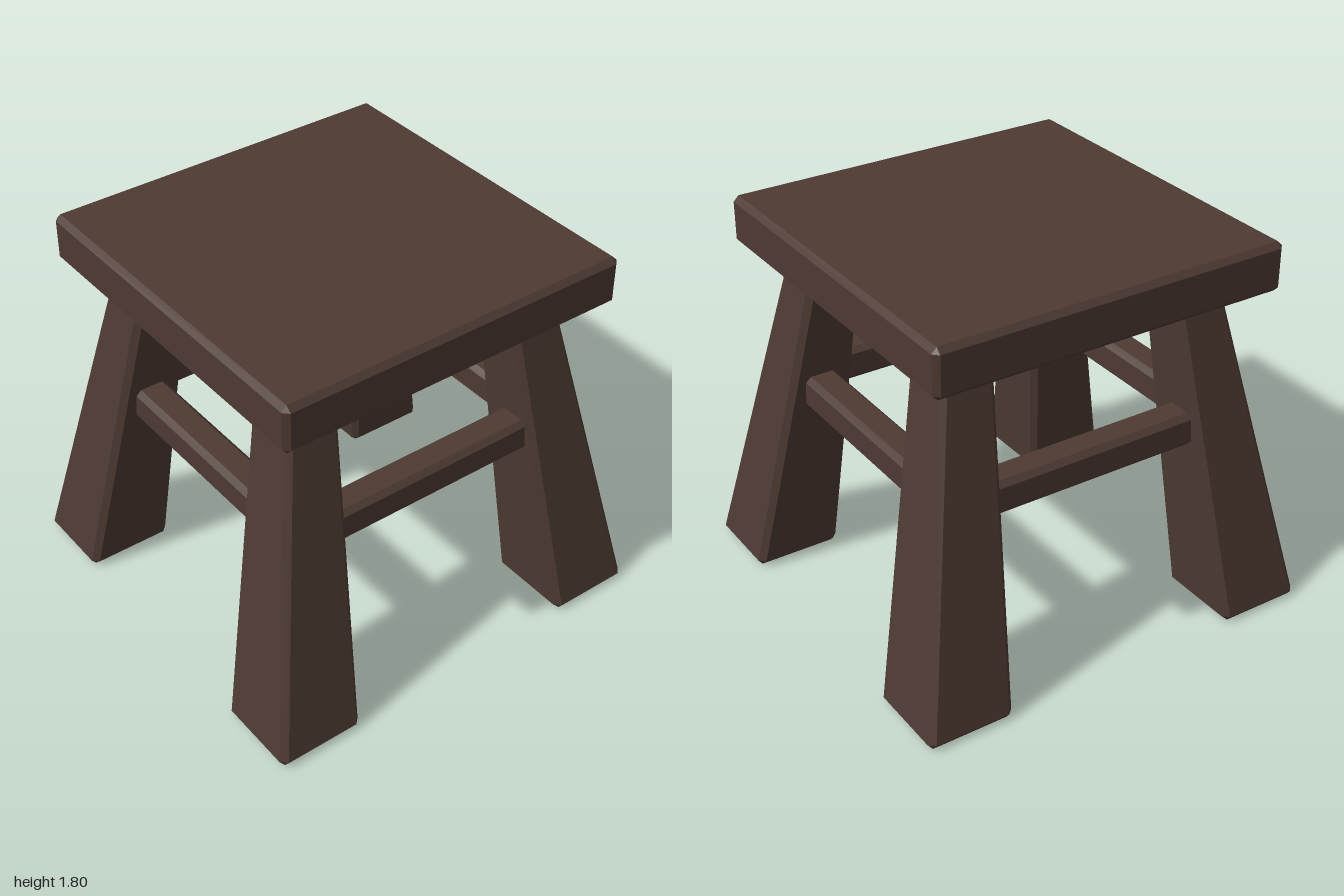
import * as THREE from 'three';
import { ConvexGeometry } from 'three/addons/geometries/ConvexGeometry.js';

const wood = new THREE.MeshStandardMaterial({ color: 0x4d3a32, flatShading: true });

// Chamfered block running from a bottom to a top rectangle, each { y, x, z, hx, hz }
function chamferedBlock(name, bottom, top, c) {
  const points = [];
  const height = top.y - bottom.y;
  const at = (t, key) => bottom[key] + (top[key] - bottom[key]) * t;
  for (const [t, inner] of [[0, true], [c / height, false], [1 - c / height, false], [1, true]]) {
    const hx = at(t, 'hx'), hz = at(t, 'hz');
    const corners = inner ? [[hx - c, hz - c]] : [[hx - c, hz], [hx, hz - c]];
    for (const [px, pz] of corners)
      for (const sx of [-1, 1])
        for (const sz of [-1, 1])
          points.push(new THREE.Vector3(at(t, 'x') + sx * px, at(t, 'y'), at(t, 'z') + sz * pz));
  }
  const mesh = new THREE.Mesh(new ConvexGeometry(points), wood);
  mesh.name = name;
  return mesh;
}

// Upright box given by its centre and half sizes
function bar(name, x, y, z, hx, hy, hz, c) {
  return chamferedBlock(name, { y: y - hy, x, z, hx, hz }, { y: y + hy, x, z, hx, hz }, c);
}

export function createModel() {
  const stool = new THREE.Group();
  stool.name = 'stool';

  // Thick square seat
  stool.add(bar('seat', 0, 1.685, 0, 0.86, 0.115, 0.86, 0.025));

  // Splayed legs, narrowing towards the seat
  for (const sx of [-1, 1])
    for (const sz of [-1, 1]) {
      const name = (sz > 0 ? 'front' : 'back') + (sx > 0 ? 'Left' : 'Right') + 'Leg';
      stool.add(chamferedBlock(name,
        { y: 0, x: sx * 0.782, z: sz * 0.79, hx: 0.21, hz: 0.21 },
        { y: 1.572, x: sx * 0.53, z: sz * 0.58, hx: 0.125, hz: 0.125 }, 0.028));
    }

  // Rails joining neighbouring legs
  for (const s of [-1, 1]) {
    stool.add(bar(s > 0 ? 'frontRail' : 'backRail', 0, 0.937, s * 0.665, 0.6, 0.081, 0.08, 0.025));
    stool.add(bar(s > 0 ? 'leftRail' : 'rightRail', s * 0.665, 0.937, 0, 0.08, 0.081, 0.62, 0.025));
  }
  return stool;
}
